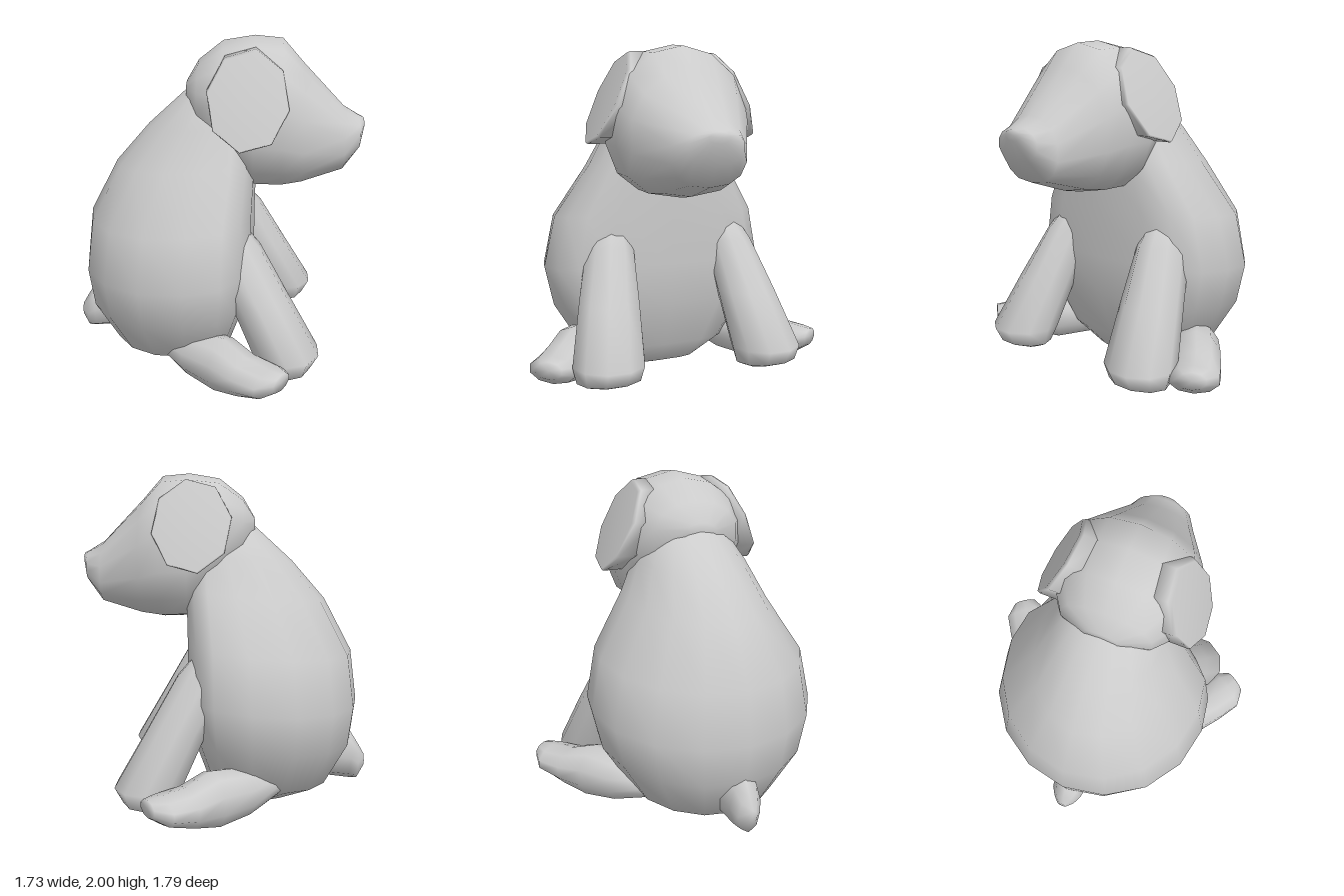
import * as THREE from 'three';

const ZC = 0.03; // mid-plane of body and head
const grey = new THREE.MeshStandardMaterial({ color: 0xcccccc });
const spow = (t, p) => Math.sign(t) * Math.abs(t) ** p;

// Smooth closed skin over a list of rings; each ring maps an angle to a point
function loft(name, rings, sides) {
  const pos = [], idx = [], centres = [], n = rings.length;
  for (const ring of rings) {
    const c = [0, 0, 0];
    for (let j = 0; j < sides; j++) {
      const p = ring((j / sides) * Math.PI * 2);
      pos.push(...p);
      p.forEach((v, k) => { c[k] += v / sides; });
    }
    centres.push(c);
  }
  pos.push(...centres[0], ...centres[n - 1]);
  for (let j = 0; j < sides; j++) {
    const k = (j + 1) % sides;
    for (let i = 0; i < n - 1; i++) {
      const a = i * sides + j, b = i * sides + k;
      idx.push(a, b, a + sides, b, b + sides, a + sides);
    }
    const e = (n - 1) * sides;
    idx.push(n * sides, k, j, n * sides + 1, e + j, e + k);
  }
  const g = new THREE.BufferGeometry();
  g.setAttribute('position', new THREE.Float32BufferAttribute(pos, 3));
  g.setIndex(idx);
  g.computeVertexNormals();
  const mesh = new THREE.Mesh(g, grey);
  mesh.name = name;
  return mesh;
}

// Pear-shaped body: back height, back x, chest x, half width.
// The chest is flattened and each ring rises slightly towards it.
function body() {
  const rows = [
    [0.005, -0.22, -0.1, 0.06], [0.02, -0.41, 0.02, 0.27], [0.12, -0.64, 0.12, 0.46],
    [0.38, -0.78, 0.21, 0.63], [0.62, -0.81, 0.235, 0.685], [0.93, -0.77, 0.235, 0.62],
    [1.25, -0.6, 0.245, 0.42], [1.48, -0.4, 0.22, 0.32], [1.7, -0.16, 0.15, 0.2],
  ];
  return loft('body', rows.map(([y, back, front, w]) => (a) => {
    const mid = back + (front - back) * 0.63, s = Math.sin(a), c = Math.cos(a);
    const x = s > 0 ? mid + (front - mid) * spow(s, 0.65) : mid + (mid - back) * s;
    return [x, y + 0.1 * (x - back), ZC + w * (s > 0 ? spow(c, 0.65) : c)];
  }), 16);
}

// Head tapering to the muzzle, fuller at the jaw: x, bottom, top, half width
function head() {
  const rows = [
    [-0.17, 1.64, 1.74, 0.1], [-0.1, 1.48, 1.86, 0.27], [0.04, 1.32, 1.97, 0.37],
    [0.22, 1.145, 2.0, 0.41], [0.38, 1.14, 1.985, 0.4], [0.5, 1.16, 1.85, 0.35],
    [0.74, 1.235, 1.6, 0.22], [0.83, 1.36, 1.545, 0.16], [0.86, 1.47, 1.53, 0.06],
  ];
  return loft('head', rows.map(([x, lo, hi, w]) => (a) => {
    const c = Math.cos(a), s = Math.sin(a), p = c < 0 ? 0.8 : 1;
    return [x, (lo + hi) / 2 + ((hi - lo) / 2) * spow(c, p), ZC + w * spow(s, p)];
  }), 14);
}

// Octagonal ear slab leaning outward at the bottom: sideways offset, scale
function ear(s) {
  const rows = [[0.25, 1], [0.37, 1], [0.388, 0.96]];
  return loft('Ear', rows.map(([z, r]) => (t) => {
    const a = s * t + 1.4;
    const dy = 0.262 * r * Math.sin(a);
    return [0.188 + 0.228 * r * Math.cos(a), 1.7 + dy, ZC + s * (z - 0.45 * dy)];
  }), 8);
}

// Front leg, slanting forward to the paw: y, x, z, x radius, z radius
function frontLeg(s) {
  const rows = [
    [0.125, 0.44, 0.485, 0.08, 0.13], [0.15, 0.44, 0.49, 0.14, 0.19], [0.24, 0.43, 0.49, 0.2, 0.21],
    [0.55, 0.27, 0.435, 0.18, 0.18], [0.85, 0.105, 0.38, 0.175, 0.14], [1.0, 0.02, 0.35, 0.13, 0.09],
  ];
  return loft('FrontLeg', rows.map(([y, x, z, rx, rz]) => (a) =>
    [x + rx * Math.sin(a), y, s * z + rz * Math.cos(a)]), 10);
}

// Hind leg, lying outward and forward: x, y, z, half width, half height
function hindLeg(s) {
  const rows = [
    [-0.3, 0.2, 0.33, 0.08, 0.06], [-0.1, 0.195, 0.47, 0.14, 0.14], [0.07, 0.195, 0.595, 0.15, 0.165],
    [0.2, 0.19, 0.7, 0.145, 0.115], [0.33, 0.205, 0.785, 0.145, 0.08], [0.4, 0.23, 0.825, 0.08, 0.05],
  ];
  return loft('HindLeg', rows.map(([x, y, z, w, h]) => (a) => {
    const q = w * Math.sin(a);
    return [x - 0.58 * s * q, y + h * Math.cos(a), s * z + 0.81 * q];
  }), 10);
}

// Short tail stub: x, bottom, top, half width
function tail() {
  const rows = [
    [-0.6, 0.12, 0.46, 0.13], [-0.78, 0.1, 0.41, 0.1], [-0.83, 0.1, 0.33, 0.07], [-0.87, 0.18, 0.26, 0.03],
  ];
  return loft('tail', rows.map(([x, lo, hi, w]) => (a) =>
    [x, (lo + hi) / 2 + ((hi - lo) / 2) * Math.sin(a), 0.02 + w * Math.cos(a)]), 8);
}

export function createModel() {
  const model = new THREE.Group();
  model.name = 'sittingDog';
  model.add(body(), head(), tail());
  for (const s of [1, -1]) {
    for (const mesh of [ear(s), frontLeg(s), hindLeg(s)]) {
      mesh.name = (s > 0 ? 'left' : 'right') + mesh.name;
      model.add(mesh);
    }
  }
  return model;
}
